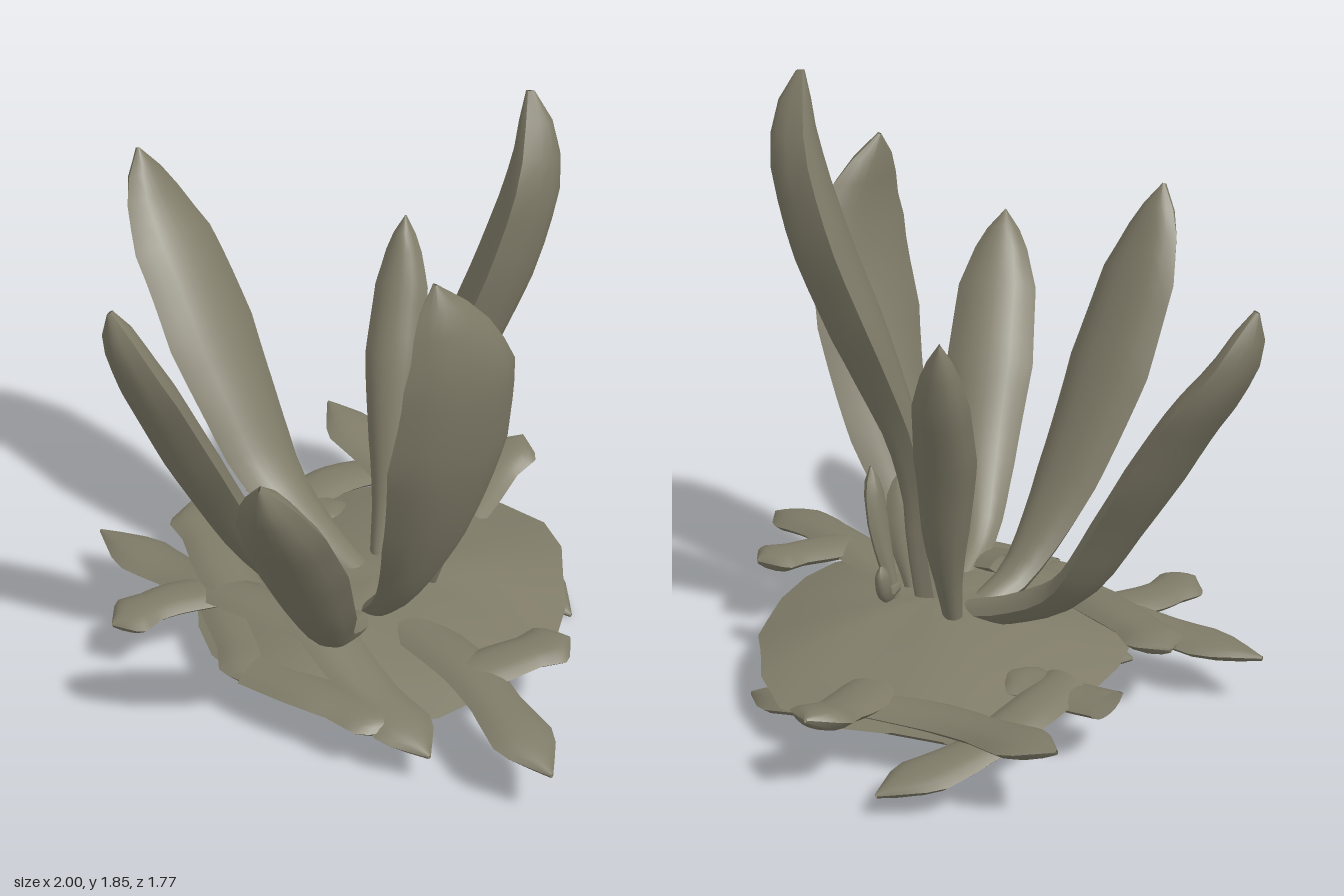
import * as THREE from 'three';

const olive = new THREE.MeshStandardMaterial({ color: 0x7f7b68, side: THREE.DoubleSide });
olive.name = 'olive';

// width along the length, as [position, share of full half-width]
const LEAF = [[0, 0.3], [0.15, 0.45], [0.35, 0.77], [0.6, 1], [0.8, 0.9], [0.93, 0.52], [1, 0.02]];
const STALKED = [[0, 0.2], [0.2, 0.2], [0.35, 0.42], [0.55, 0.9], [0.72, 1], [0.86, 0.78], [1, 0.02]];
const TWIG = [[0, 0.9], [0.3, 0.9], [0.6, 0.82], [0.8, 1], [0.87, 0.8], [1, 0.05]];

function sample(profile, t) {
  for (let i = 1; i < profile.length; i++) {
    const [t0, v0] = profile[i - 1], [t1, v1] = profile[i];
    if (t <= t1) return v0 + (v1 - v0) * (t - t0) / (t1 - t0);
  }
  return profile[profile.length - 1][1];
}

// Lens-shaped blade swept along a path; its two faces meet in sharp edges.
// twist turns the blade's width about the vertical, in radians.
function blade(name, path, half, outer, inner, profile, rings = 16, twist = 0) {
  const pts = path.map(p => new THREE.Vector3(...p));
  const curve = new THREE.CatmullRomCurve3(pts);
  const dir = pts[pts.length - 1].clone().sub(pts[0]);
  const side = new THREE.Vector3(-dir.z, 0, dir.x).normalize();
  side.applyAxisAngle(new THREE.Vector3(0, 1, 0), twist);
  const pos = [], index = [], cols = 8;
  for (const face of [1, -1]) {
    const start = pos.length / 3;
    for (let i = 0; i <= rings; i++) {
      const t = i / rings, k = sample(profile, t);
      const c = curve.getPointAt(t);
      const n = curve.getTangentAt(t).cross(side).normalize();
      const depth = face > 0 ? outer : -inner;
      for (let j = 0; j <= cols; j++) {
        const u = j / cols * 2 - 1;
        const p = c.clone().addScaledVector(side, half * k * u)
          .addScaledVector(n, depth * Math.sqrt(k) * (1 - Math.abs(u) ** 2.6));
        pos.push(p.x, p.y, p.z);
      }
    }
    for (let i = 0; i < rings; i++) for (let j = 0; j < cols; j++) {
      const a = start + i * (cols + 1) + j, b = a + cols + 1;
      if (face > 0) index.push(a, b, a + 1, b, b + 1, a + 1);
      else index.push(a, a + 1, b, b, a + 1, b + 1);
    }
  }
  return smoothMesh(name, pos, index);
}

function smoothMesh(name, pos, index) {
  const g = new THREE.BufferGeometry();
  g.setAttribute('position', new THREE.Float32BufferAttribute(pos, 3));
  g.setIndex(index);
  g.computeVertexNormals();
  const m = new THREE.Mesh(g, olive);
  m.name = name;
  return m;
}

// Shallow irregular dome, open underneath
function mound() {
  const radii = [0.54, 0.6, 0.6, 0.61, 0.6, 0.6, 0.6, 0.63, 0.68, 0.66, 0.54, 0.52];
  const rings = 6, seg = 24, pos = [0.05, 0.245, -0.05], index = [];
  for (let r = 1; r <= rings; r++) for (let s = 0; s < seg; s++) {
    const a = s / seg * Math.PI * 2, h = Math.floor(s / 2), f = r / rings;
    const R = s % 2 ? (radii[h] + radii[(h + 1) % 12]) / 2 : radii[h];
    const y = 0.245 - 0.105 * f * f + 0.015 * f * Math.sin(a * 5 + 1);
    pos.push(0.05 + Math.cos(a) * R * f, y, -0.05 + Math.sin(a) * R * f);
  }
  for (let s = 0; s < seg; s++) {
    const n = (s + 1) % seg;
    index.push(0, 1 + n, 1 + s);
    for (let r = 0; r < rings - 1; r++) {
      const a = 1 + r * seg + s, b = 1 + r * seg + n;
      index.push(a, b, a + seg, b, b + seg, a + seg);
    }
  }
  return smoothMesh('mound', pos, index);
}

export function createModel() {
  const model = new THREE.Group();
  model.name = 'plant';
  model.add(mound());

  // Large leaves: path, half-width, outer and inner bulge, profile, twist
  const leaves = [
    ['rightLeaf', [[-0.03, 0.21, 0], [-0.2, 0.27, 0.01], [-0.4, 0.39, 0.03], [-0.58, 0.66, 0.045], [-0.78, 0.98, 0.05], [-0.93, 1.2, 0.06], [-0.98, 1.34, 0.07]], 0.172, 0.075, 0.055, LEAF, 0],
    ['frontLeaf', [[-0.03, 0.2, 0.05], [-0.05, 0.26, 0.2], [-0.07, 0.44, 0.36], [-0.1, 0.75, 0.53], [-0.115, 1.08, 0.69], [-0.12, 1.25, 0.77], [-0.12, 1.38, 0.82]], 0.163, 0.075, 0.055, LEAF, 0],
    ['frontLeftLeaf', [[0.13, 0.2, 0.15], [0.2, 0.28, 0.32], [0.31, 0.48, 0.47], [0.41, 0.75, 0.63], [0.5, 1, 0.78], [0.55, 1.16, 0.87]], 0.14, 0.075, 0.055, LEAF, 0],
    ['leftLeaf', [[0.13, 0.22, 0.09], [0.26, 0.36, 0.12], [0.41, 0.64, 0.15], [0.53, 0.98, 0.19], [0.585, 1.3, 0.21], [0.55, 1.53, 0.27]], 0.195, 0.065, 0.05, LEAF, 0.22],
    ['tallBackLeaf', [[0.06, 0.2, -0.03], [0.09, 0.4, -0.04], [0.11, 0.7, -0.06], [0.18, 1.02, -0.13], [0.28, 1.38, -0.22], [0.34, 1.65, -0.26], [0.34, 1.85, -0.27]], 0.155, 0.13, 0.04, STALKED, 0],
    ['backRightLeaf', [[-0.06, 0.21, -0.09], [-0.11, 0.48, -0.18], [-0.18, 0.78, -0.26], [-0.24, 1.03, -0.35], [-0.28, 1.21, -0.4]], 0.09, 0.055, 0.05, LEAF, 0],
  ];
  for (const [name, path, half, outer, inner, profile, twist] of leaves)
    model.add(blade(name, path, half, outer, inner, profile, 20, twist));

  // Young shoots between the leaves
  const shoots = [
    [[0.16, 0.22, -0.03], [0.2, 0.4, -0.02], [0.23, 0.6, 0.01], 0.055],
    [[0.15, 0.22, -0.11], [0.2, 0.42, -0.12], [0.24, 0.64, -0.12], 0.045],
    [[0.12, 0.29, -0.13], [0.1, 0.3, -0.21], [0.09, 0.4, -0.24], 0.025],
  ];
  for (const [a, b, c, half] of shoots)
    model.add(blade('shoot', [a, b, c], half, 0.03, 0.025, LEAF, 10));

  // Forked flat twigs lying around the mound
  const twigs = [
    [[-0.52, 0.18, -0.12], [-0.55, 0.17, -0.35], [-0.53, 0.13, -0.55], [-0.42, 0.07, -0.82]],
    [[-0.69, 0.18, -0.16], [-0.57, 0.17, -0.17], [-0.34, 0.17, -0.19]],
    [[-0.1, 0.15, -0.56], [-0.4, 0.17, -0.51], [-0.65, 0.21, -0.54], [-0.84, 0.25, -0.57]],
    [[-0.12, 0.17, -0.5], [-0.18, 0.2, -0.68], [-0.23, 0.26, -0.89]],
    [[-0.45, 0.15, -0.5], [-0.1, 0.12, -0.57], [0.12, 0.07, -0.55], [0.35, 0.01, -0.53]],
    [[0.25, 0.2, 0.06], [0.55, 0.22, 0.11], [0.75, 0.21, 0.17], [1, 0.17, 0.23]],
    [[0.56, 0.22, 0.12], [0.6, 0.23, -0.03], [0.65, 0.24, -0.2]],
    [[0.03, 0.26, 0.28], [0.3, 0.19, 0.33], [0.66, 0.11, 0.37]],
    [[0.05, 0.15, 0.5], [0.3, 0.16, 0.45], [0.55, 0.14, 0.36]],
    [[0.15, 0.22, 0.27], [-0.2, 0.2, 0.34], [-0.5, 0.16, 0.37], [-0.83, 0.16, 0.4]],
    [[-0.3, 0.18, 0.35], [-0.36, 0.18, 0.5], [-0.37, 0.18, 0.7]],
    [[-0.25, 0.2, 0.33], [-0.45, 0.22, 0.25], [-0.68, 0.23, 0.15]],
    [[-0.35, 0.14, 0.3], [0, 0.15, 0.48], [0.12, 0.14, 0.54]],
  ];
  for (const path of twigs)
    model.add(blade('twig', path, 0.096, 0.036, 0.028, TWIG, 15));

  // Roots hanging under the mound
  const roots = [
    [[0.1, 0.18, 0.05], [0, 0.12, 0.03], [-0.13, 0.05, 0]],
    [[-0.1, 0.17, 0.15], [0.05, 0.11, 0.12], [0.27, 0.05, 0.05]],
    [[-0.15, 0.17, 0.1], [-0.3, 0.12, 0.18], [-0.45, 0.08, 0.28]],
  ];
  for (const path of roots)
    model.add(blade('root', path, 0.08, 0.025, 0.02, TWIG, 15));
  for (let i = 0; i < 7; i++) {
    const a = i / 7 * Math.PI * 2, c = Math.cos(a), s = Math.sin(a);
    model.add(blade('rootlet', [[0.08 + c * 0.02, 0.2, -0.05 + s * 0.02],
      [0.08 + c * 0.06, 0.16, -0.05 + s * 0.06], [0.08 + c * 0.1, 0.13, -0.05 + s * 0.1]], 0.02, 0.02, 0.02, LEAF, 6));
  }
  return model;
}
